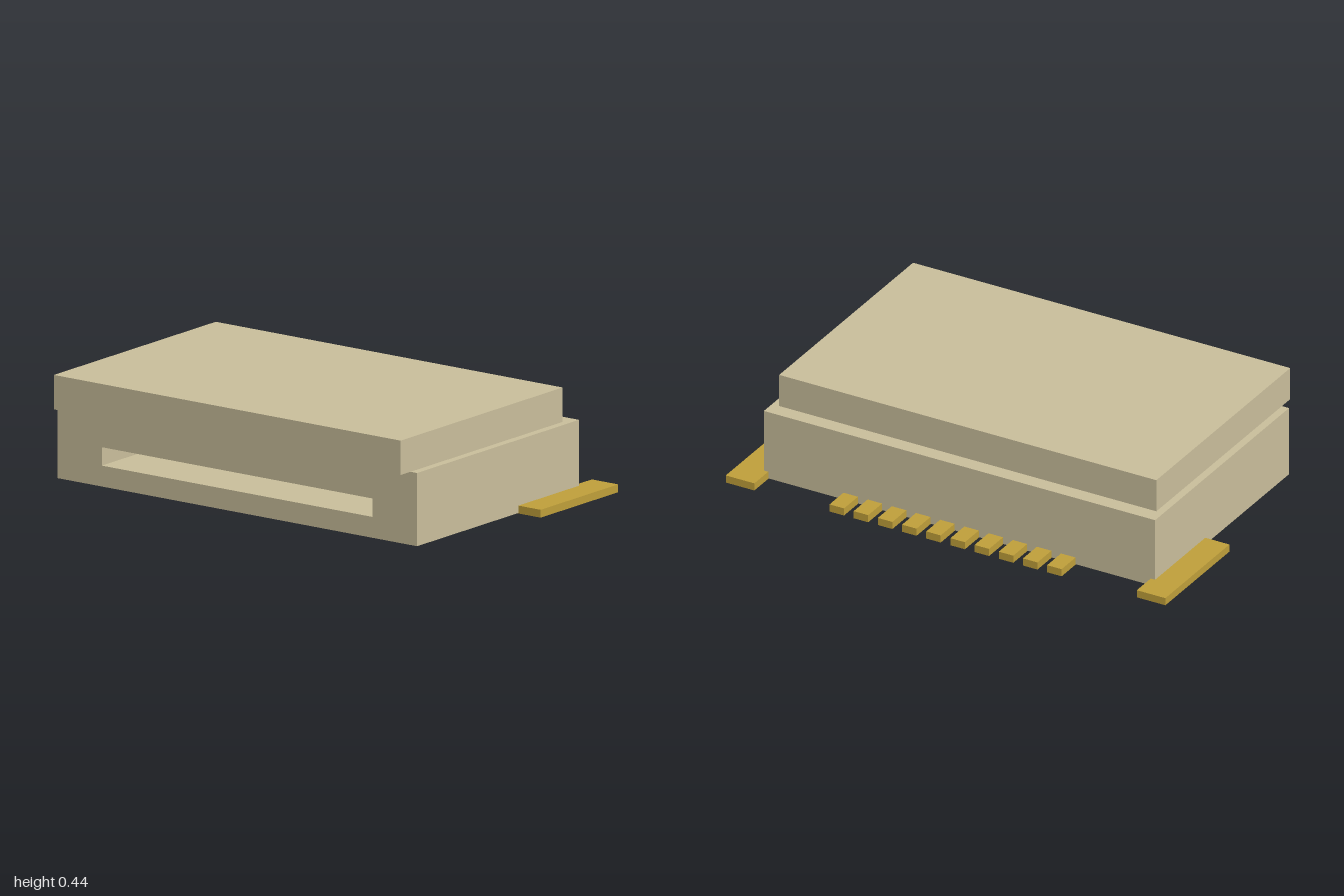
import * as THREE from 'three';

export function createModel() {
  const model = new THREE.Group();
  const plastic = new THREE.MeshStandardMaterial({ color: 0xc9be9b });
  plastic.name = 'beige plastic';
  const metal = new THREE.MeshStandardMaterial({ color: 0xbf9f3a });
  metal.name = 'gold metal';

  // Adds a box given its extents along each axis
  function addBox(name, material, [x0, x1], [y0, y1], [z0, z1], parent = model) {
    const mesh = new THREE.Mesh(new THREE.BoxGeometry(x1 - x0, y1 - y0, z1 - z0), material);
    mesh.position.set((x0 + x1) / 2, (y0 + y1) / 2, (z0 + z1) / 2);
    mesh.name = name;
    parent.add(mesh);
  }

  function rectangle(path, x, y0, y1) {
    path.moveTo(-x, y0);
    path.lineTo(x, y0);
    path.lineTo(x, y1);
    path.lineTo(-x, y1);
    path.closePath();
    return path;
  }

  // Housing: slotted front portion and solid rear; its base sits just above the contacts' undersides
  const base = 0.002, top = 0.3, slotEnd = -0.1, front = 0.55, back = -0.505;
  const housing = new THREE.Group();
  housing.name = 'housing';
  const outline = rectangle(new THREE.Shape(), 0.89, base, top);
  outline.holes.push(rectangle(new THREE.Path(), 0.67, 0.087, 0.162));
  const slotted = new THREE.Mesh(
    new THREE.ExtrudeGeometry(outline, { depth: front - slotEnd, bevelEnabled: false }), plastic);
  slotted.position.z = slotEnd;
  slotted.name = 'slottedFront';
  housing.add(slotted);
  addBox('solidRear', plastic, [-0.89, 0.89], [base, top], [back, slotEnd], housing);
  model.add(housing);

  // Lid, shifted forward so it overhangs the slot
  addBox('lid', plastic, [-0.858, 0.858], [top, 0.44], [-0.44, 0.615]);

  // Row of ten contacts running under the rear edge
  const contacts = new THREE.Group();
  contacts.name = 'contacts';
  for (let i = 0; i < 10; i++) {
    const x = (i - 4.5) * 0.11;
    addBox('contact', metal, [x - 0.033, x + 0.033], [0, 0.032], [-0.615, -0.31], contacts);
  }
  model.add(contacts);

  // Mounting tabs on both sides
  addBox('leftMountingTab', metal, [0.87, 1], [0, 0.032], [-0.615, -0.11]);
  addBox('rightMountingTab', metal, [-1, -0.87], [0, 0.032], [-0.615, -0.11]);

  return model;
}
